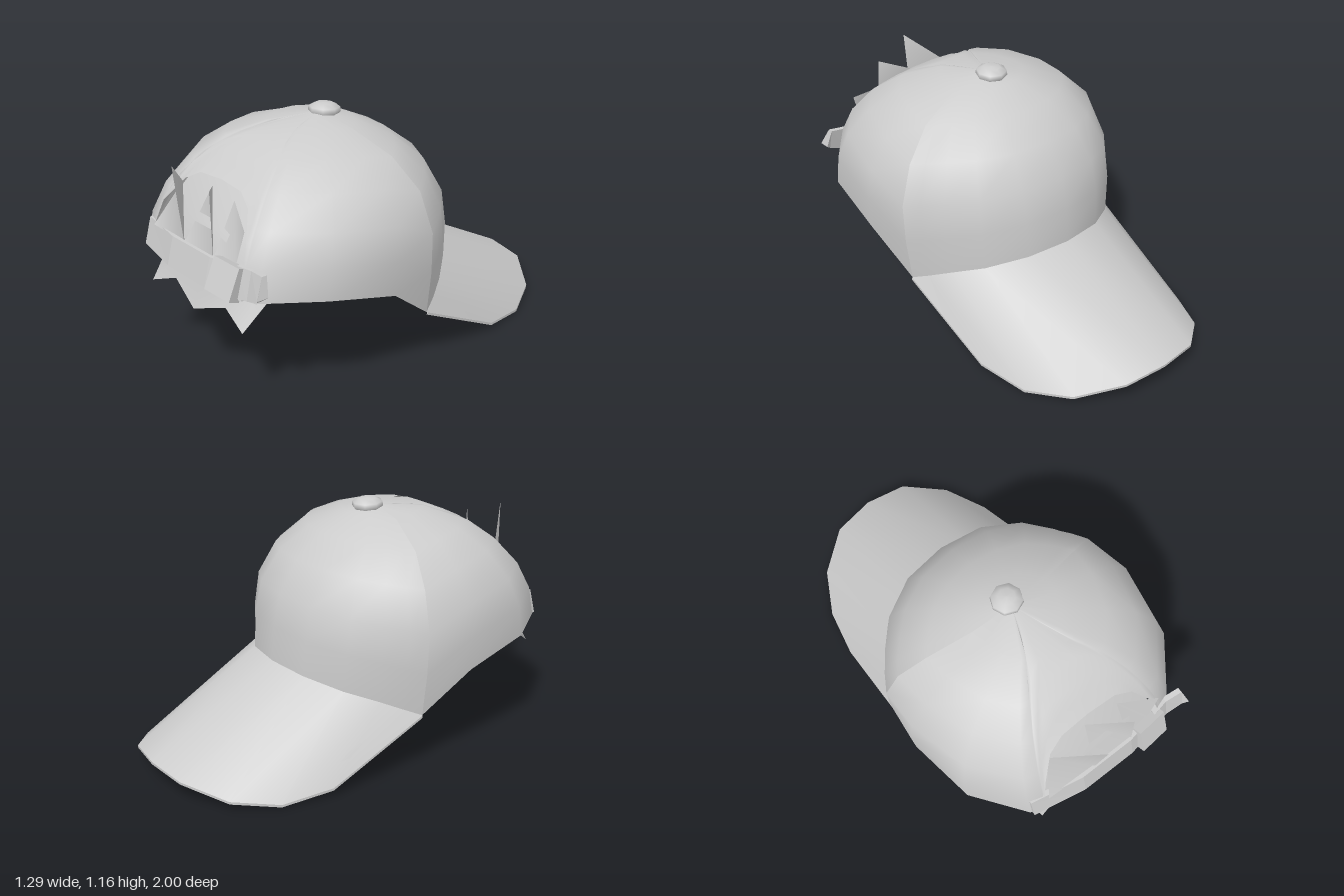
import * as THREE from 'three';

// Surface through rows of [x, y, z] points; smooth unless flat
function grid(rows, flat = false) {
  const n = rows[0].length, index = [];
  for (let i = 0; i < rows.length - 1; i++) {
    for (let j = 0; j < n - 1; j++) {
      const a = i * n + j, b = a + 1, c = a + n, d = c + 1;
      index.push(a, c, b, b, c, d);
    }
  }
  let g = new THREE.BufferGeometry();
  g.setAttribute('position', new THREE.Float32BufferAttribute(rows.flat(2), 3));
  g.setIndex(index);
  if (flat) g = g.toNonIndexed();
  g.computeVertexNormals();
  return g;
}

// Closed band through [x, z, yBottom, yTop] stations, leaning inward at the top
function band(stations, thick, lean) {
  const rows = stations.map(([x, z, y0, y1]) => [
    [x, y0, z], [x, y1, z - lean], [x, y1, z - lean - thick], [x, y0, z - thick], [x, y0, z]]);
  const cap = (r) => r.map(() => [0, 1, 2].map((k) => (r[0][k] + r[2][k]) / 2));
  return grid([cap(rows[0]), ...rows, cap(rows[rows.length - 1])], true);
}

// Crown cross-sections: height, far z, near z, half width
const levels = [
  [0.2, -0.36, 0.98, 0.595], [0.3, -0.36, 0.98, 0.61], [0.5, -0.355, 0.975, 0.635],
  [0.62, -0.345, 0.96, 0.645], [0.77, -0.31, 0.9, 0.63], [0.92, -0.215, 0.785, 0.54],
  [1.03, -0.07, 0.64, 0.4], [1.1, 0.08, 0.47, 0.19], [1.122, 0.22, 0.22, 0],
];
function crownPoint(u, w, y) {
  let i = 0;
  while (i < levels.length - 2 && levels[i + 1][0] < y) i++;
  const a = levels[i], b = levels[i + 1], t = (y - a[0]) / (b[0] - a[0]);
  const [far, near, half] = [1, 2, 3].map((k) => a[k] + (b[k] - a[k]) * t);
  return [u * half, y, (far + near) / 2 + (w * (near - far)) / 2];
}

// Half outline of the crown: sideways fraction, depth fraction, rim height
const frontColumns = [
  [0, -1, 0.45], [0.34, -0.95, 0.44], [0.62, -0.79, 0.4],
  [0.79, -0.6, 0.355], [0.89, -0.46, 0.315], [0.96, -0.34, 0.28],
];
const rearColumns = [
  frontColumns[5], [1, 0.02, 0.465], [0.92, 0.54, 0.54], [0.64, 0.9, 0.54],
  [0.53, 0.935, 0.54], [0.52, 0.94, 0.66], [0.49, 0.95, 0.77],
  [0.41, 0.965, 0.88], [0.28, 0.985, 0.925], [0, 1, 0.935],
];
const mirrored = (cols) => [
  ...cols.slice().reverse().map(([u, w, y]) => [-u, w, y]), ...cols.slice(1)];
const rise = [0, 0.25, 0.48, 0.7, 0.86, 0.965, 1];
const panel = (cols) => grid(cols.map(([u, w, rim]) =>
  rise.map((f) => crownPoint(u, w, rim + (1.122 - rim) * f))));

export function createModel() {
  const cap = new THREE.Group();
  cap.name = 'baseballCap';
  const grey = new THREE.MeshStandardMaterial({ color: 0xcccccc, side: THREE.DoubleSide });
  grey.name = 'light grey';
  const add = (name, geometry, parent = cap) => {
    const mesh = new THREE.Mesh(geometry, grey);
    mesh.name = name;
    parent.add(mesh);
    return mesh;
  };

  // Crown panels, with an arched opening over the strap
  add('visorSideCrown', panel(mirrored(frontColumns)));
  add('strapSideCrown', panel([...rearColumns, ...rearColumns.slice(0, -1).reverse()
    .map(([u, w, y]) => [-u, w, y])]));

  // Button on top
  const button = add('topButton', new THREE.LatheGeometry([
    [0, -0.03], [0.062, -0.03], [0.075, -0.012], [0.072, 0.008], [0.04, 0.024], [0, 0.027],
  ].map((p) => new THREE.Vector2(...p)), 8));
  button.position.set(0, 1.13, 0.185);
  button.rotation.x = -0.06;

  // Curved visor: top, underside and a thin edge
  const edge = [[0, 0.11, -1], [0.21, 0.095, -0.97], [0.4, 0.04, -0.83],
    [0.51, 0.012, -0.63], [0.56, 0.042, -0.39], [0.588, 0.28, 0.08]];
  const outer = [...edge.slice().reverse().map(([x, y, z]) => [-x, y, z]), ...edge.slice(1)];
  const inner = mirrored(frontColumns).map(([u, w, y]) => crownPoint(u, w, y));
  const lower = (row) => row.map(([x, y, z]) => [x, y - 0.012, z]);
  add('visorTop', grid([inner, outer]));
  add('visorUnderside', grid([lower(outer), lower(inner)]));
  add('visorEdge', grid([outer, lower(outer)]));

  // Strap, its loose end and the buckle
  add('strap', band([[-0.4, 0.925, 0.54, 0.665], [-0.14, 0.975, 0.54, 0.67],
    [0.14, 0.975, 0.54, 0.67], [0.35, 0.935, 0.54, 0.67]], 0.025, 0.035));
  add('strapEnd', band([[0.3, 0.945, 0.545, 0.68], [0.38, 0.93, 0.55, 0.68],
    [0.465, 0.94, 0.58, 0.688], [0.49, 0.955, 0.6, 0.6]], 0.025, 0.03));
  const buckle = add('buckle', new THREE.BoxGeometry(0.155, 0.15, 0.06));
  buckle.position.set(0.257, 0.61, 0.94);
  buckle.rotation.set(-0.38, 0.12, -0.03);

  // Hair locks springing out of the opening
  const hair = new THREE.Group();
  hair.name = 'hair';
  cap.add(hair);
  add('hairBase', grid([
    [[-0.33, 0.62, 0.9], [-0.12, 0.62, 0.92], [0.12, 0.62, 0.92], [0.33, 0.62, 0.9]],
    [[-0.3, 0.76, 0.84], [-0.1, 0.77, 0.87], [0.12, 0.77, 0.87], [0.3, 0.75, 0.84]],
    [[-0.24, 0.91, 0.74], [-0.1, 0.95, 0.73], [0.12, 0.95, 0.73], [0.24, 0.9, 0.74]],
  ]), hair);
  const locks = [
    [[-0.32, 0.66, 0.92], [-0.065, 0.66, 0.93], [-0.065, 1.03, 0.97], [-0.25, 0.86, 0.8]],
    [[-0.065, 0.66, 0.93], [0.15, 0.66, 0.93], [0.132, 0.958, 0.92], [-0.035, 0.9, 0.79]],
    [[0.14, 0.66, 0.92], [0.27, 0.66, 0.9], [0.322, 0.83, 0.885], [0.14, 0.89, 0.8]],
  ];
  for (const [a, b, tip, root] of locks) add('upperLock', grid([[a, b], [root, tip]]), hair);

  // Jagged hair hanging below the strap
  add('hangingHair', grid([
    [[-0.43, 0.68, 0.62], [-0.34, 0.68, 0.8], [-0.2, 0.7, 0.84], [0, 0.7, 0.86],
      [0.18, 0.7, 0.84], [0.3, 0.68, 0.8], [0.4, 0.68, 0.65]],
    [[-0.4, 0.54, 0.75], [-0.34, 0.53, 0.84], [-0.2, 0.54, 0.86], [0, 0.53, 0.89],
      [0.18, 0.54, 0.86], [0.32, 0.53, 0.84], [0.37, 0.54, 0.76]],
    [[-0.37, 0.45, 0.86], [-0.35, 0.375, 0.93], [-0.2, 0.43, 0.9], [0, 0.37, 0.945],
      [0.18, 0.43, 0.9], [0.34, 0.38, 0.93], [0.355, 0.45, 0.86]],
  ]), hair);
  return cap;
}
